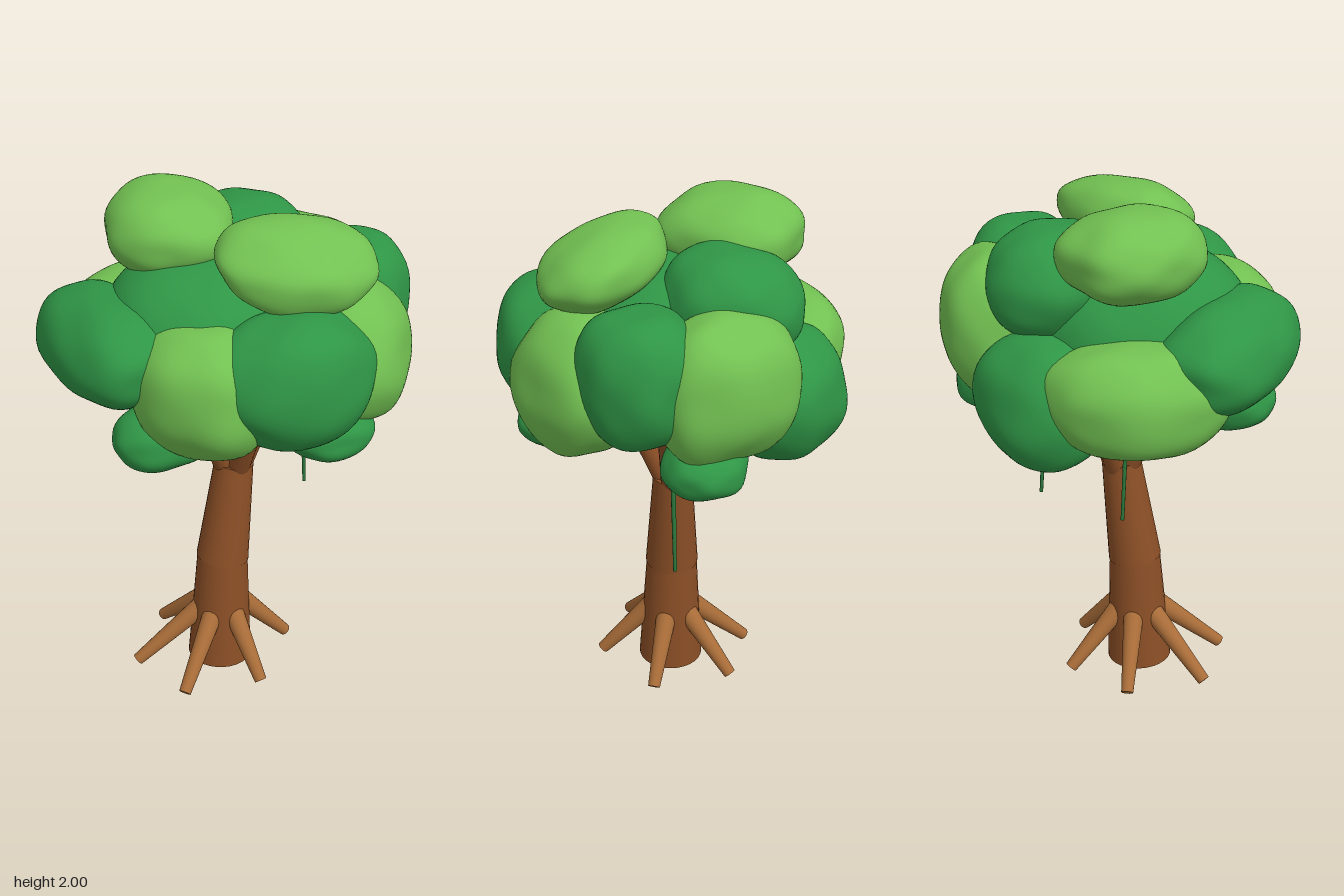
import * as THREE from 'three';
import { mergeVertices } from 'three/addons/utils/BufferGeometryUtils.js';

const mat = (color) => new THREE.MeshStandardMaterial({ color });
const V = (a) => new THREE.Vector3(...a);

// Tapered cylinder between two points
function limb(name, from, to, r0, r1, material, sides = 20) {
  const a = V(from), b = V(to), d = b.clone().sub(a);
  const mesh = new THREE.Mesh(new THREE.CylinderGeometry(r1, r0, d.length(), sides), material);
  mesh.position.copy(a).addScaledVector(d, 0.5);
  mesh.quaternion.setFromUnitVectors(new THREE.Vector3(0, 1, 0), d.normalize());
  mesh.name = name;
  return mesh;
}

// Lumpy ellipsoid of leaves, flattened in depth, turned by tilt and fitted to its x, y and z ranges
function clump(name, ranges, material, seed, tilt = [0, 0, 0], flat = 1) {
  let geo = new THREE.IcosahedronGeometry(1, 10);
  geo.deleteAttribute('normal');
  geo.deleteAttribute('uv');
  geo = mergeVertices(geo, 1e-4);
  const size = ranges.map(([lo, hi]) => hi - lo);
  const p = geo.attributes.position, v = new THREE.Vector3(), n = 2.2;
  for (let i = 0; i < p.count; i++) {
    v.fromBufferAttribute(p, i);
    const full = Math.pow(Math.abs(v.x) ** n + Math.abs(v.y) ** n + Math.abs(v.z) ** n, -1 / n);
    const lump = Math.sin(3.1 * v.x + seed * 1.7) * Math.sin(3.7 * v.y + seed * 2.3)
      + Math.sin(3.3 * v.z + seed * 0.9) * Math.cos(4.1 * v.x + seed * 3.1)
      + 0.6 * Math.sin(6.5 * v.y + seed) * Math.sin(6 * v.z - seed)
      + 0.5 * Math.sin(7 * v.x - seed * 2) * Math.cos(6.3 * v.z + seed);
    v.multiplyScalar(full * (1 + 0.03 * lump)).multiply(V(size));
    p.setXYZ(i, v.x, v.y, v.z * flat);
  }
  geo.rotateX(tilt[0]).rotateY(tilt[1]).rotateZ(tilt[2]);
  geo.center();
  geo.computeBoundingBox();
  const box = geo.boundingBox.getSize(new THREE.Vector3());
  geo.scale(size[0] / box.x, size[1] / box.y, size[2] / box.z);
  geo.computeVertexNormals();
  const mesh = new THREE.Mesh(geo, material);
  mesh.position.set(...ranges.map(([lo, hi]) => (lo + hi) / 2));
  mesh.name = name;
  return mesh;
}

export function createModel() {
  const tree = new THREE.Group();
  tree.name = 'tree';
  const bark = mat(0x8b4f26), rootBark = mat(0xa86c38);
  const dark = mat(0x2f9646), light = mat(0x72c152), vineGreen = mat(0x2c7a3c);

  // Leaning trunk in two tapered sections
  tree.add(limb('lowerTrunk', [-0.06, 0.005, 0.03], [-0.043, 0.48, 0.02], 0.128, 0.1, bark, 28));
  tree.add(limb('upperTrunk', [-0.043, 0.47, 0.02], [0.012, 0.89, 0.003], 0.104, 0.076, bark, 28));

  // Four branches fanning out into the crown
  for (let i = 0; i < 4; i++) {
    const a = (i / 4) * Math.PI * 2 + 1.45, c = Math.cos(a), s = Math.sin(a);
    tree.add(limb('branch', [0.012 + 0.03 * c, 0.87, 0.03 * s],
      [0.02 + 0.2 * c, 1.24, 0.005 + 0.2 * s], 0.045, 0.035, bark));
  }

  // Splayed roots with rounded tops, given by their feet
  const feet = [[0.23, 0.03], [0.015, 0.3], [-0.295, 0.265], [-0.405, 0], [-0.21, -0.25], [0.075, -0.25]];
  for (const [x, z] of feet) {
    const dir = new THREE.Vector2(x + 0.06, z - 0.03).normalize();
    const top = [-0.05 + dir.x * 0.085, 0.237, 0.025 + dir.y * 0.085];
    const root = new THREE.Group();
    root.name = 'root';
    const cap = new THREE.Mesh(new THREE.SphereGeometry(0.041, 16, 10), rootBark);
    cap.name = 'rootCap';
    cap.position.set(...top);
    root.add(limb('rootLimb', top, [x, 0.023, z], 0.041, 0.024, rootBark), cap);
    tree.add(root);
  }

  // Leaf clumps: name, ranges in x, y and z, colour, tilt, flattening
  const clumps = [
    ['crownCore', [[-0.48, 0.4], [1.12, 1.81], [-0.42, 0.42]], dark],
    ['topBackClump', [[-0.42, 0.075], [1.68, 2], [-0.44, 0.1]], light, [0, -0.3, 0]],
    ['topFrontClump', [[-0.13, 0.457], [1.65, 1.955], [0, 0.445]], light, [0.5, -0.15, -0.15]],
    ['upperClump', [[-0.1, 0.375], [1.5, 1.89], [-0.5, 0.02]], dark, [-0.2, 0.2, 0]],
    ['rightClump', [[-0.7, -0.25], [1.3, 1.69], [-0.34, 0.335]], dark, [0, 0.2, 0.2]],
    ['frontClump', [[-0.24, 0.385], [1.22, 1.715], [0.2, 0.65]], dark],
    ['frontRightClump', [[-0.47, 0], [1.17, 1.67], [0.05, 0.565]], light, [0, -0.6, 0], 0.75],
    ['frontLeftClump', [[0.1, 0.635], [1.18, 1.71], [0, 0.53]], light, [-0.2, 0.9, 0], 0.75],
    ['leftClump', [[0.25, 0.695], [1.29, 1.775], [-0.23, 0.25]], dark],
    ['backLeftClump', [[0.13, 0.64], [1.2, 1.76], [-0.53, -0.03]], light, [0, 2.2, 0], 0.75],
    ['backClump', [[-0.23, 0.3], [1.05, 1.56], [-0.655, -0.18]], dark, [0.15, -0.15, 0.1]],
    ['backRightClump', [[-0.61, -0.03], [1.18, 1.59], [-0.605, -0.06]], light, [0, 0.75, 0], 0.7],
    ['lowRightClump', [[-0.525, -0.15], [1.08, 1.31], [0.05, 0.35]], dark],
    ['lowFrontClump', [[0.06, 0.4], [1.11, 1.31], [0.26, 0.53]], dark],
    ['lowLeftClump', [[0.27, 0.61], [1.09, 1.3], [-0.365, -0.06]], dark],
  ];
  clumps.forEach(([name, ranges, m, tilt, flat], i) => tree.add(clump(name, ranges, m, i + 1, tilt, flat)));

  // Hanging vines
  tree.add(limb('vine', [-0.17, 0.79, -0.228], [-0.18, 1.28, -0.21], 0.007, 0.009, vineGreen, 8));
  tree.add(limb('vine', [0.35, 0.67, -0.085], [0.315, 1.28, -0.065], 0.007, 0.012, vineGreen, 8));
  return tree;
}
